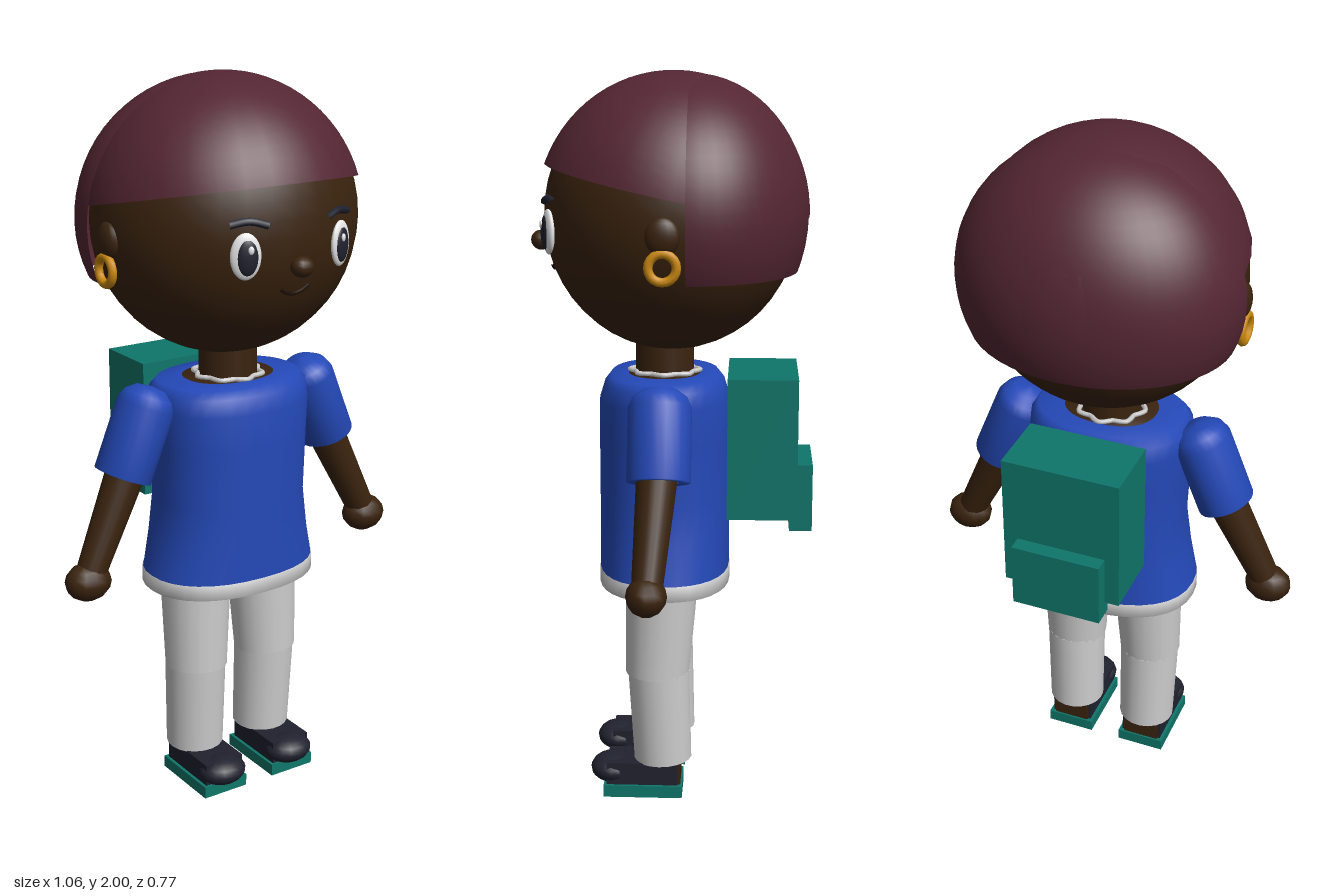
import * as THREE from 'three';

const paint = (name, color, side = THREE.FrontSide) => {
  const m = new THREE.MeshStandardMaterial({ color, side });
  m.name = name;
  return m;
};
const V = (x, y, z) => new THREE.Vector3(x, y, z);

export function createModel() {
  const skin = paint('skin', 0x3a230e);
  const hair = paint('hair', 0x542633, THREE.DoubleSide);
  const blue = paint('shirt blue', 0x2449b8, THREE.DoubleSide);
  const pale = paint('light grey', 0xcdcdce, THREE.DoubleSide);
  const white = paint('eye white', 0xeeeeee);
  const dark = paint('dark navy', 0x20222f);
  const teal = paint('teal', 0x0f766a);
  const gold = paint('gold', 0xcb890f);
  const lip = paint('lip', 0x1f1006);

  const model = new THREE.Group();
  model.name = 'child';

  const add = (name, geometry, material, x = 0, y = 0, z = 0, parent = model) => {
    const mesh = new THREE.Mesh(geometry, material);
    mesh.name = name;
    mesh.position.set(x, y, z);
    parent.add(mesh);
    return mesh;
  };
  const ball = (name, material, p, s, parent = model, w = 24, h = 16) => {
    const mesh = add(name, new THREE.SphereGeometry(1, w, h), material, p[0], p[1], p[2], parent);
    mesh.scale.set(...s);
    return mesh;
  };
  const box = (name, material, p, s) =>
    add(name, new THREE.BoxGeometry(...s), material, ...p);

  // Tapered limb between two points
  const limb = (name, material, a, b, ra, rb) => {
    const dir = b.clone().sub(a);
    const mid = a.clone().add(b).multiplyScalar(0.5);
    const mesh = add(name, new THREE.CylinderGeometry(rb, ra, dir.length(), 20), material, mid.x, mid.y, mid.z);
    mesh.quaternion.setFromUnitVectors(V(0, 1, 0), dir.normalize());
    return mesh;
  };

  // Skin through rounded cross-sections [y, halfWidth, halfDepth]
  const loft = (rings, n = 32, power = 0.88) => {
    const pos = [], index = [];
    const soft = (v) => Math.sign(v) * Math.abs(v) ** power;
    rings.forEach(([y, rx, rz], i) => {
      for (let j = 0; j < n; j++) {
        const t = (j / n) * Math.PI * 2;
        pos.push(rx * soft(Math.cos(t)), y, rz * soft(Math.sin(t)));
        if (i === rings.length - 1) continue;
        const a = i * n + j, b = i * n + ((j + 1) % n);
        index.push(a, a + n, b, b, a + n, b + n);
      }
    });
    const g = new THREE.BufferGeometry();
    g.setAttribute('position', new THREE.Float32BufferAttribute(pos, 3));
    g.setIndex(index);
    g.computeVertexNormals();
    return g;
  };

  // Head and hair
  const HY = 1.62, HX = 0.364, HH = 0.365, HZ = 0.346;
  const faceZ = (x, y) => HZ * Math.sqrt(1 - (x / HX) ** 2 - ((y - HY) / HH) ** 2);
  ball('head', skin, [0, HY, 0], [HX, HH, HZ], model, 32, 24);

  const cap = add('hairCap', new THREE.SphereGeometry(0.37, 32, 16, 0, Math.PI * 2, 0, 1.395), hair, 0, HY, 0);
  cap.rotation.x = -0.2;
  cap.scale.set(1.01, 1.027, 1);
  const back = add('backHair', new THREE.SphereGeometry(1, 24, 20, Math.PI, Math.PI, 0, 1.985), hair, 0, HY, -0.05);
  back.scale.set(0.388, 0.372, 0.318);

  // Face
  ball('nose', skin, [0, 1.548, 0.357], [0.032, 0.027, 0.028], model, 12, 10);
  const smile = [-0.045, -0.023, 0, 0.023, 0.045].map((x) => {
    const y = 1.472 + 9 * x * x;
    return V(x, y, faceZ(x, y) + 0.003);
  });
  add('mouth', new THREE.TubeGeometry(new THREE.CatmullRomCurve3(smile), 16, 0.005, 6), lip);

  for (const s of [-1, 1]) {
    const eye = new THREE.Group();
    eye.name = 'eye';
    eye.position.set(s * 0.145, 1.585, faceZ(0.145, 1.585));
    eye.rotation.y = s * 0.4;
    model.add(eye);
    ball('eyeWhite', white, [0, 0, 0.004], [0.04, 0.06, 0.014], eye);
    ball('pupil', dark, [-s * 0.003, -0.002, 0.011], [0.028, 0.046, 0.011], eye);
    ball('glint', white, [-s * 0.011, 0.018, 0.02], [0.008, 0.011, 0.005], eye, 10, 8);

    // Curved eyebrow
    const arch = [[0.09, 1.66], [0.135, 1.672], [0.182, 1.664]].map(([x, y]) => V(s * x, y, faceZ(x, y) + 0.003));
    add('eyebrow', new THREE.TubeGeometry(new THREE.CatmullRomCurve3(arch), 12, 0.01, 6), dark);

    // Ear with hoop
    ball('ear', skin, [s * 0.358, 1.595, 0.008], [0.024, 0.05, 0.045], model, 16, 12);
    const hoop = add('earring', new THREE.TorusGeometry(0.036, 0.012, 8, 20), gold, s * 0.369, 1.518, 0.008);
    hoop.rotation.y = Math.PI / 2;
  }

  // Neck and torso
  const CZ = 0.02;
  add('neck', new THREE.CylinderGeometry(0.08, 0.08, 0.16, 20), skin, 0, 1.23, CZ);
  add('neckline', loft([[1.15, 0.14, 0.11], [1.187, 0.14, 0.11], [1.188, 0, 0]]), skin, 0, 0, CZ);
  add('pelvis', loft([[0.61, 0, 0], [0.61, 0.2, 0.13], [0.75, 0.2, 0.13]]), skin, 0, 0, CZ);
  add('shirt', loft([
    [0.64, 0.251, 0.18], [0.74, 0.23, 0.18], [0.85, 0.214, 0.18], [1.02, 0.222, 0.18],
    [1.12, 0.228, 0.179], [1.165, 0.225, 0.165], [1.187, 0.205, 0.148], [1.19, 0.13, 0.1],
  ]), blue, 0, 0, CZ);
  add('hem', loft([[0.6, 0.234, 0.165], [0.6, 0.252, 0.182], [0.643, 0.252, 0.182], [0.643, 0.234, 0.165]]), pale, 0, 0, CZ);

  // Wavy necklace
  const wave = Array.from({ length: 32 }, (_, i) => {
    const t = (i / 32) * Math.PI * 2, r = 0.09 + 0.007 * Math.cos(8 * t);
    return V(r * Math.cos(t), 1.193, r * Math.sin(t) + CZ);
  });
  add('necklace', new THREE.TubeGeometry(new THREE.CatmullRomCurve3(wave, true), 96, 0.007, 6, true), pale);

  // Backpack
  box('backpack', teal, [0, 1.003, -0.25], [0.33, 0.386, 0.19]);
  box('backpackPocket', teal, [0, 0.862, -0.356], [0.25, 0.184, 0.062]);

  // Sleeve outline, from cuff to shoulder
  const sleeveLine = [[0.05, 0], [0.078, 0], [0.078, 0.198], [0.066, 0.226], [0.04, 0.246], [0, 0.252]]
    .map(([r, y]) => new THREE.Vector2(r, y));

  for (const s of [-1, 1]) {
    // Arms
    const sleeve = add('sleeve', new THREE.LatheGeometry(sleeveLine, 24), blue, s * 0.3375, 0.957, CZ);
    sleeve.rotation.z = s * 0.385;
    sleeve.scale.z = 1.08;
    limb('forearm', skin, V(s * 0.315, 1.0, 0.022), V(s * 0.455, 0.71, 0.043), 0.056, 0.041);
    ball('hand', skin, [s * 0.465, 0.688, 0.045], [0.066, 0.053, 0.054], model, 12, 8);

    // Trouser legs
    limb('upperLeg', pale, V(s * 0.11, 0.66, 0.022), V(s * 0.118, 0.352, 0.036), 0.102, 0.088);
    limb('lowerLeg', pale, V(s * 0.118, 0.358, 0.032), V(s * 0.115, 0.1, 0.021), 0.086, 0.081);

    // Shoes, open at the heel
    box('sole', teal, [s * 0.115, 0.019, 0.075], [0.14, 0.034, 0.22]);
    box('footBase', skin, [s * 0.115, 0.004, 0.075], [0.105, 0.008, 0.185]);
    box('heel', skin, [s * 0.115, 0.07, 0.0], [0.1, 0.07, 0.06]);
    box('shoeUpper', dark, [s * 0.115, 0.067, 0.077], [0.122, 0.064, 0.2]);
    ball('shoeToe', dark, [s * 0.115, 0.066, 0.165], [0.07, 0.039, 0.06], model, 16, 12);
    box('heelBack', skin, [s * 0.115, 0.066, -0.025], [0.108, 0.06, 0.008]);
  }
  return model;
}
